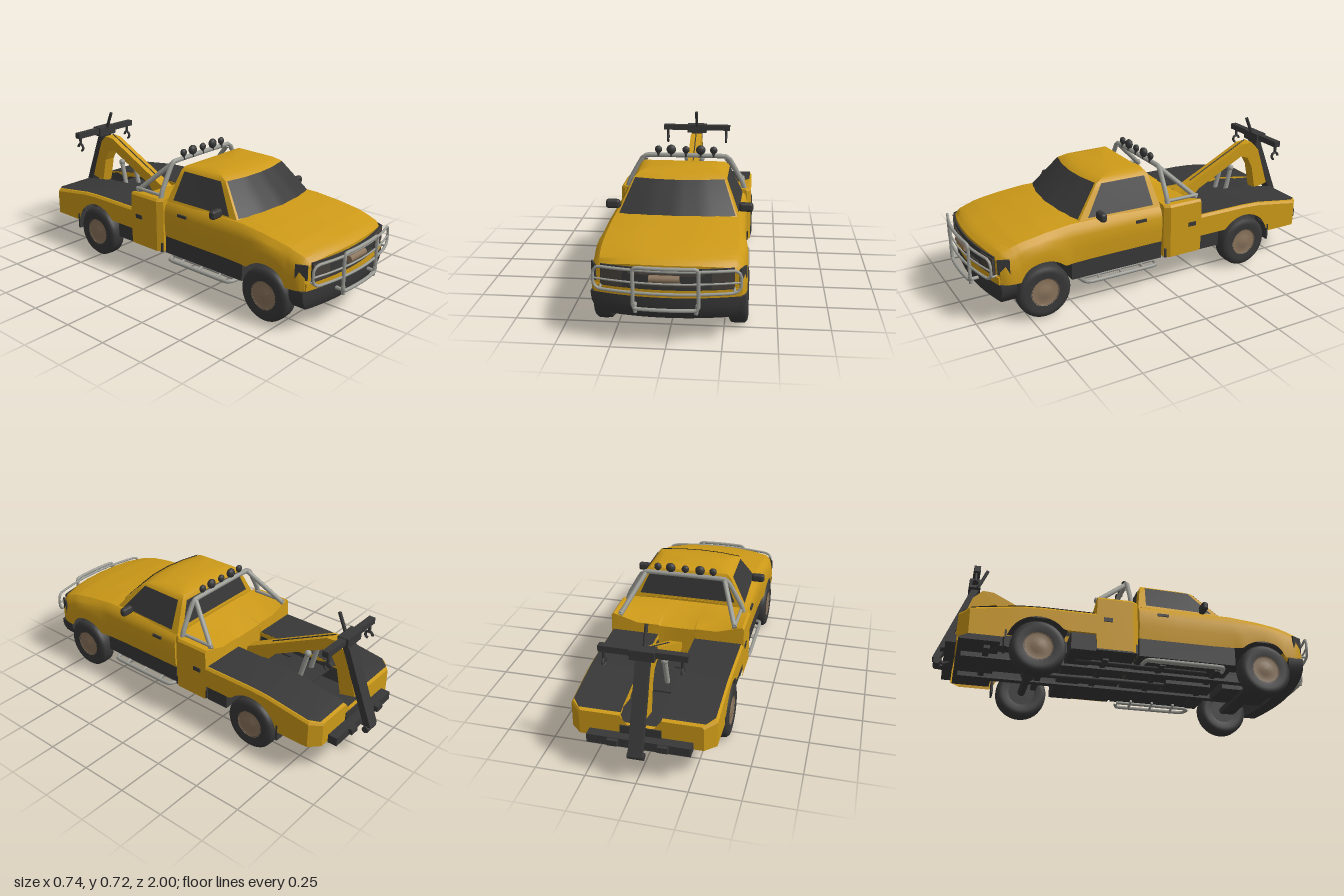
import * as THREE from 'three';
import { toCreasedNormals } from 'three/addons/utils/BufferGeometryUtils.js';
import { RoundedBoxGeometry } from 'three/addons/geometries/RoundedBoxGeometry.js';

const mat = (name, color, side = THREE.DoubleSide) => new THREE.MeshStandardMaterial({ name, color, side });
const V = (x, y, z) => new THREE.Vector3(x, y, z);

// piecewise linear lookup in an ascending table of [key, value]
function at(tab, k) {
  if (k <= tab[0][0]) return tab[0][1];
  for (let i = 1; i < tab.length; i++) {
    const [a, va] = tab[i - 1], [b, vb] = tab[i];
    if (k <= b) return va + (vb - va) * (k - a) / (b - a);
  }
  return tab[tab.length - 1][1];
}

// skin over rows of [x, y, z] points
function grid(rows, crease = 0.6) {
  const n = rows[0].length, index = [];
  for (let r = 0; r < rows.length - 1; r++) for (let c = 0; c < n - 1; c++) {
    const a = r * n + c;
    index.push(a, a + n, a + 1, a + 1, a + n, a + n + 1);
  }
  const g = new THREE.BufferGeometry();
  g.setAttribute('position', new THREE.Float32BufferAttribute(rows.flat(2), 3));
  g.setIndex(index);
  return toCreasedNormals(g, crease);
}

const mirrorSection = (half, z) => [
  ...half.map(([x, y]) => [x, y, z]),
  ...half.slice(0, -1).reverse().map(([x, y]) => [-x, y, z])];
const collapse = (row, p) => row.map(() => p);
const range = (a, b, n) => Array.from({ length: n + 1 }, (_, i) => a + (b - a) * i / n);
const bow = x => -0.45 * x * x; // the nose curves back towards its corners
function bend(g) {
  const p = g.attributes.position;
  for (let i = 0; i < p.count; i++) p.setZ(i, p.getZ(i) + bow(p.getX(i)));
  g.computeVertexNormals();
  return g;
}

const FRONT = 0.675, REAR = -0.51, AXLE = 0.14;
const arch = (z, zc, r, base) => Math.abs(z - zc) < r ? Math.max(base, AXLE + Math.sqrt(r * r - (z - zc) ** 2)) : base;

export function createModel() {
  const truck = new THREE.Group();
  truck.name = 'towTruck';
  const yellow = mat('yellow paint', 0xcd9a18), black = mat('charcoal', 0x383838);
  const steel = mat('grey steel', 0x9c9c96, THREE.FrontSide), tan = mat('tan rim', 0x8a745c);
  const lens = mat('headlight lens', 0x48423c);
  const add = (name, g, m, x = 0, y = 0, z = 0) => {
    const o = new THREE.Mesh(g, m);
    o.name = name;
    o.position.set(x, y, z);
    truck.add(o);
    return o;
  };
  const box = (name, m, w, h, d, x, y, z) => add(name, new THREE.BoxGeometry(w, h, d), m, x, y, z);
  const tube = (name, m, pts, r, closed = false) => add(name, new THREE.TubeGeometry(
    new THREE.CatmullRomCurve3(pts, closed, 'catmullrom', 0.2), pts.length * 4, r, 8, closed), m);
  const rod = (name, m, a, b, r) => {
    const o = add(name, new THREE.CylinderGeometry(r, r, a.distanceTo(b), 12), m);
    o.position.copy(a).add(b).multiplyScalar(0.5);
    o.quaternion.setFromUnitVectors(V(0, 1, 0), b.clone().sub(a).normalize());
    return o;
  };
  const sides = f => [1, -1].forEach(f);

  // Hood, front fenders and doors: one shell with the wheel arches cut in its lower edge
  const noseW = [[0, 0.337], [0.5, 0.34], [0.7, 0.347], [0.85, 0.347], [0.91, 0.343], [0.94, 0.328]];
  const flare = [[0.48, 0], [0.56, 0.012], [0.86, 0.014], [0.94, 0.01]];
  const noseTop = [[0, 0.457], [0.51, 0.457], [0.65, 0.442], [0.8, 0.418], [0.91, 0.39], [0.94, 0.37]];
  const nose = [0.94, 0.925, 0.91, 0.88, 0.85, ...range(0.84, 0.51, 24), 0.4, 0.2, 0.005].map(z => {
    const W = at(noseW, z), t = at(noseTop, z), f = at(flare, z), low = arch(z, FRONT, 0.16, z > FRONT ? 0.222 : 0.25);
    const k = THREE.MathUtils.clamp((z - 0.75) / 0.19, 0, 1);
    return mirrorSection([[W * 0.985 + f, low], [W + f * 0.7, low + (t - low) * 0.35], [W, low + (t - low) * 0.65], [W * 0.97, t - 0.035],
      [W * 0.9, t - 0.012], [W * 0.6, t], [W * 0.3, t + 0.004], [0, t + 0.005]], z).map(([x, y, zz]) => [x, y, zz + bow(x) * k]);
  });
  nose.unshift(collapse(nose[0], [0, 0.222, 0.94]));
  nose.push(collapse(nose[0], [0, 0.25, 0.005]));
  add('hoodAndDoors', grid(nose), yellow);

  // Cab upper: rings described by front z, front half width, back z, back half width and corner sweep
  const rings = [[[0.44, 0.53], [0.6, 0.36], [0.617, 0.315], [0.625, 0.26]], [[0.44, 0.3], [0.6, 0.23], [0.617, 0.21], [0.625, 0.17]],
    [[0.44, 0.004], [0.6, 0.035], [0.617, 0.045], [0.625, 0.08]], [[0.44, 0.315], [0.6, 0.235], [0.617, 0.215], [0.625, 0.175]],
    [[0.44, 0.068], [0.6, 0.034]]];
  const ringPoint = (y, t) => {
    const [zf, hf, zb, hb, sw] = rings.map(r => at(r, y));
    const pts = [[-hf, zf - sw], [-hf / 2, zf - sw / 4], [0, zf], [hf / 2, zf - sw / 4], [hf, zf - sw], [hb, zb], [0, zb], [-hb, zb]];
    const i = Math.floor(t), f = t - i, a = pts[i % 8], b = pts[(i + 1) % 8];
    return [a[0] + (b[0] - a[0]) * f, y, a[1] + (b[1] - a[1]) * f];
  };
  const cab = [0.625, 0.617, 0.6, 0.56, 0.52, 0.48, 0.44].map(y => range(0, 8, 32).map(t => ringPoint(y, t)));
  cab.unshift(collapse(cab[0], [0, 0.628, 0.17]));
  add('cabRoof', grid(cab), yellow);
  const glass = (name, t0, t1, y0, y1, off) => add(name, grid(range(y1, y0, 4).map(y =>
    range(t0, t1, 16).map(t => ringPoint(y, t).map((v, i) => v + off[i])))), black);
  glass('windshield', 0.06, 3.94, 0.45, 0.598, [0, 0.003, 0.004]);
  glass('leftDoorWindow', 4.09, 4.91, 0.453, 0.595, [0.005, 0.002, 0]);
  glass('rightDoorWindow', 7.09, 7.91, 0.453, 0.595, [-0.005, 0.002, 0]);
  glass('rearWindow', 5.12, 6.88, 0.472, 0.593, [0, 0.001, -0.005]);

  // Tool box and bed, with a channel along the middle for the boom
  const bedW = [[-0.9, 0.3], [-0.85, 0.353], [-0.035, 0.357], [-0.005, 0.335]];
  const bedTop = [[-0.9, 0.3], [-0.84, 0.315], [-0.6, 0.35], [-0.5, 0.355], [-0.224, 0.355], [-0.22, 0.45], [-0.005, 0.45]];
  const bedMid = [[-0.224, 0], [-0.22, -0.04], [-0.005, 0.005]];
  const floor = [[-0.9, 0.25], [-0.224, 0.25], [-0.22, 0.405], [-0.005, 0.455]];
  const bedLow = z => arch(z, REAR, 0.16, z > -0.222 ? 0.16 : z > REAR ? 0.24 : 0.17);
  const bed = [-0.005, -0.035, -0.12, -0.22, -0.224, -0.3, ...range(-0.35, -0.67, 24), -0.75, -0.85, -0.9].map(z => {
    const W = at(bedW, z), t = at(bedTop, z), m = t + at(bedMid, z);
    return mirrorSection([[W, bedLow(z)], [W, t - 0.012], [W - 0.01, t], [W * 0.6, m], [0.1, m], [0.09, at(floor, z)], [0, at(floor, z)]], z);
  });
  bed.unshift(collapse(bed[0], [0, 0.16, -0.005]));
  bed.push(collapse(bed[0], [0, 0.17, -0.9]));
  add('toolBoxAndBed', grid(bed, 0.4), yellow);
  const deckZ = [-0.23, -0.5, -0.6, -0.84, -0.885];
  sides(s => add('deckPanel', grid(deckZ.map(z => [at(bedW, z) - 0.011, 0.098].map(x => [s * x, at(bedTop, z) + 0.005, z]))), black));
  add('boomChannel', grid(deckZ.map(z => mirrorSection([[0.102, at(bedTop, z) + 0.004], [0.086, 0.256], [0, 0.256]], z)), 0.3), black);
  box('tailCentrePlate', black, 0.2, 0.08, 0.008, 0, 0.21, -0.902);

  // Nose details; the bumper narrows and tucks under towards its lower edge
  const bumper = new THREE.BoxGeometry(0.7, 0.105, 0.08, 16, 5, 1), bp = bumper.attributes.position;
  for (let i = 0; i < bp.count; i++) {
    const d = 0.5 - bp.getY(i) / 0.105;
    bp.setXYZ(i, bp.getX(i) * (1 - 0.12 * d ** 2.5), bp.getY(i), bp.getZ(i) - 0.02 * d ** 3);
  }
  add('frontBumper', toCreasedNormals(bend(bumper.translate(0, 0.172, 0.908)), 0.6), black);
  const nosePlate = (name, m, w, h, x, y, z) => add(name, bend(new THREE.BoxGeometry(w, h, 0.008, 12, 1, 1).translate(x, y, z)), m);
  nosePlate('lowerGrillePanel', yellow, 0.66, 0.04, 0, 0.243, 0.943);
  nosePlate('grille', black, 0.6, 0.1, 0, 0.312, 0.945);
  sides(s => {
    nosePlate('headlight', lens, 0.1, 0.085, s * 0.25, 0.311, 0.95);
    box('cornerLamp', black, 0.008, 0.075, 0.06, s * 0.337, 0.316, 0.872).rotation.y = -s * 0.45;
  });
  [0.285, 0.335].forEach(y => nosePlate('grilleSlat', lens, 0.34, 0.008, 0, y, 0.95));
  add('winchDrum', new THREE.CylinderGeometry(0.018, 0.018, 0.135, 16).rotateZ(Math.PI / 2), tan, -0.008, 0.318, 0.958);

  // Bull bar
  const loop = (hw, y0, y1, r, z) => {
    const s = new THREE.Shape();
    s.absarc(hw - r, y1 - r, r, 0, Math.PI / 2).absarc(r - hw, y1 - r, r, Math.PI / 2, Math.PI);
    s.absarc(r - hw, y0 + r, r, Math.PI, Math.PI * 1.5).absarc(hw - r, y0 + r, r, Math.PI * 1.5, Math.PI * 2);
    s.closePath();
    return s.getSpacedPoints(64).slice(0, -1).map(p => V(p.x, p.y, z + bow(p.x)));
  };
  tube('bullBarOuterLoop', steel, loop(0.33, 0.257, 0.363, 0.035, 0.982), 0.007, true);
  tube('bullBarCentreLoop', steel, loop(0.145, 0.183, 0.378, 0.018, 0.988), 0.009, true);
  tube('bullBarMiddleRail', steel, range(-0.33, 0.33, 8).map(x => V(x, 0.305, 0.982 + bow(x))), 0.005);
  sides(s => {
    rod('bullBarFoot', steel, V(s * 0.135, 0.165, 0.975), V(s * 0.142, 0.21, 0.979), 0.009);
    rod('bullBarBracket', steel, V(s * 0.14, 0.19, 0.92), V(s * 0.14, 0.19, 0.98), 0.009);
    rod('bullBarBracket', steel, V(s * 0.3, 0.26, 0.87), V(s * 0.3, 0.26, 0.942), 0.006);
  });

  // Wheels
  const tyre = [[0.07, -0.04], [0.105, -0.046], [0.125, -0.042], [0.137, -0.03], [0.139, 0], [0.137, 0.03], [0.125, 0.042], [0.105, 0.046], [0.07, 0.04]];
  const rim = [[0.074, 0.042], [0.066, 0.036], [0.035, 0.038], [0.03, 0.043], [0, 0.045]];
  const lathe = (pts, s) => new THREE.LatheGeometry(pts.map(([r, h]) => new THREE.Vector2(r, h)), 36).rotateZ(-s * Math.PI / 2);
  [FRONT, REAR].forEach(z => {
    sides(s => {
      add('tyre', lathe(tyre, s), black, s * 0.316, AXLE, z);
      add('rim', lathe(rim, s), tan, s * 0.316, AXLE, z);
      add('innerHub', new THREE.CylinderGeometry(0.072, 0.05, 0.03, 20).rotateZ(Math.PI / 2), black, s * 0.29, AXLE, z);
    });
    rod('axle', black, V(-0.29, AXLE, z), V(0.29, AXLE, z), 0.022);
    add('differential', new THREE.SphereGeometry(0.042, 16, 10), black, z > 0 ? 0.06 : 0, AXLE, z);
    box('wheelWellRoof', black, 0.66, 0.008, 0.33, 0, 0.308, z);
  });

  // Sills, floor and chassis
  box('cabFloorAndSills', black, 0.658, 0.1, 0.515, 0, 0.205, 0.262);
  box('toolBoxFloor', black, 0.69, 0.05, 0.215, 0, 0.182, -0.115);
  box('bedSkirt', black, 0.68, 0.09, 0.125, 0, 0.197, -0.285);
  box('rearFloor', black, 0.44, 0.06, 0.55, 0, 0.21, -0.61);
  box('tailFloor', black, 0.6, 0.05, 0.2, 0, 0.19, -0.79);
  box('enginePan', black, 0.2, 0.1, 0.3, 0, 0.17, 0.68);
  box('frontSuspension', black, 0.46, 0.02, 0.08, 0, 0.112, 0.68);
  box('gearbox', black, 0.12, 0.04, 0.25, 0, 0.155, 0.35);
  box('fuelTank', black, 0.12, 0.05, 0.3, 0.21, 0.165, -0.1);
  rod('driveShaft', black, V(0, 0.15, 0.25), V(0, 0.14, REAR), 0.014);
  rod('exhaust', black, V(-0.2, 0.155, 0.4), V(-0.2, 0.155, -0.3), 0.016);
  range(-0.75, 0.45, 4).forEach(z => box('crossMember', black, 0.5, 0.025, 0.03, 0, 0.16, z));
  sides(s => {
    box('frameRail', black, 0.04, 0.05, 1.76, s * 0.13, 0.165, 0.01);
    box('mudFlap', black, 0.09, 0.09, 0.01, s * 0.31, 0.165, -0.672);
    // Running boards
    const rail = [[0.28, 0.46], [0.335, 0.45], [0.348, 0.42], [0.348, 0.07], [0.335, 0.04], [0.28, 0.03]];
    tube('runningBoardRail', steel, rail.map(([x, z]) => V(s * x, 0.131, z)), 0.01);
    rod('runningBoardInnerRail', steel, V(s * 0.308, 0.142, 0.04), V(s * 0.308, 0.142, 0.45), 0.009);
    [0.12, 0.245, 0.37].forEach(z => rod('runningBoardRung', steel, V(s * 0.28, 0.15, z), V(s * 0.345, 0.131, z), 0.007));
    // Mirrors, handles and tool box latches
    add('mirror', new RoundedBoxGeometry(0.072, 0.046, 0.035, 3, 0.014), black, s * 0.336, 0.466, 0.355);
    box('mirrorArm', black, 0.05, 0.016, 0.02, s * 0.295, 0.455, 0.355);
    box('doorHandle', black, 0.012, 0.014, 0.06, s * 0.337, 0.393, 0.13);
    box('latch', black, 0.008, 0.022, 0.045, s * 0.357, 0.322, -0.165);
    // Roll bar stays
    rod('rollBarStay', steel, V(s * 0.216, 0.617, -0.04), V(s * 0.308, 0.445, -0.22), 0.013);
    rod('rollBarFoot', steel, V(s * 0.308, 0.458, -0.03), V(s * 0.308, 0.458, -0.225), 0.009);
  });
  tube('rollBarHoop', steel, [[-0.322, 0.44], [-0.308, 0.485], [-0.24, 0.605], [-0.208, 0.625], [0.208, 0.625], [0.24, 0.605],
    [0.308, 0.485], [0.322, 0.44]].map(([x, y]) => V(x, y, -0.036)), 0.013);
  [[-0.15, 0.02], [-0.08, 0.026], [0, 0.02], [0.08, 0.026], [0.15, 0.02]].forEach(([x, r]) => {
    add('roofLamp', new THREE.SphereGeometry(r, 16, 12).scale(1, 1, 0.75), black, x, 0.658, -0.03);
    rod('roofLampStem', black, V(x, 0.62, -0.03), V(x, 0.65, -0.03), 0.008);
  });

  // Tow boom
  const boom = new THREE.Shape([[-0.235, 0.3], [-0.24, 0.335], [-0.36, 0.395], [-0.72, 0.575], [-0.78, 0.58], [-0.83, 0.53], [-0.905, 0.31],
    [-0.82, 0.29], [-0.79, 0.43], [-0.755, 0.49], [-0.71, 0.505], [-0.42, 0.36], [-0.36, 0.29]].map(p => new THREE.Vector2(...p)));
  add('towBoom', new THREE.ExtrudeGeometry(boom, { depth: 0.066, bevelEnabled: false }).rotateY(-Math.PI / 2).translate(0.033, 0, 0), yellow);
  rod('winchCable', black, V(0, 0.408, -0.38), V(0, 0.592, -0.75), 0.003);
  sides(s => {
    rod('liftRam', steel, V(s * 0.05, 0.26, -0.58), V(s * 0.045, 0.46, -0.63), 0.013);
    add('ramPin', new THREE.SphereGeometry(0.018, 12, 8), steel, s * 0.045, 0.455, -0.628);
    box('channelWinch', black, 0.03, 0.06, 0.12, s * 0.065, 0.29, -0.4);
    // Crossbar hooks
    rod('hookLink', black, V(s * 0.185, 0.6, -0.83), V(s * 0.185, 0.55, -0.83), 0.008);
    add('hook', new THREE.TorusGeometry(0.02, 0.007, 8, 14, 4.4).rotateY(Math.PI / 2), black, s * 0.185, 0.535, -0.83);
    box('bumperStep', black, 0.05, 0.03, 0.03, s * 0.12, 0.19, -0.955);
  });
  box('crossbar', black, 0.42, 0.032, 0.034, 0, 0.61, -0.825);
  box('crossbarSleeve', black, 0.12, 0.05, 0.06, 0, 0.605, -0.825);
  rod('mastTip', black, V(0, 0.72, -0.76), V(0, 0.58, -0.82), 0.009);
  const mast = box('mast', black, 0.066, 0.48, 0.036, 0, 0.385, -0.9);
  mast.rotation.x = Math.atan2(0.175, 0.44);
  add('mastFoot', new THREE.CylinderGeometry(0.018, 0.018, 0.08, 12).rotateZ(Math.PI / 2), black, 0, 0.15, -0.982);
  tube('towHook', black, [[0.2, -0.9], [0.165, -0.92], [0.15, -0.95], [0.175, -0.97]].map(([y, z]) => V(0, y, z)), 0.009);
  box('rearBumper', black, 0.5, 0.045, 0.05, 0, 0.185, -0.925);

  return truck;
}
